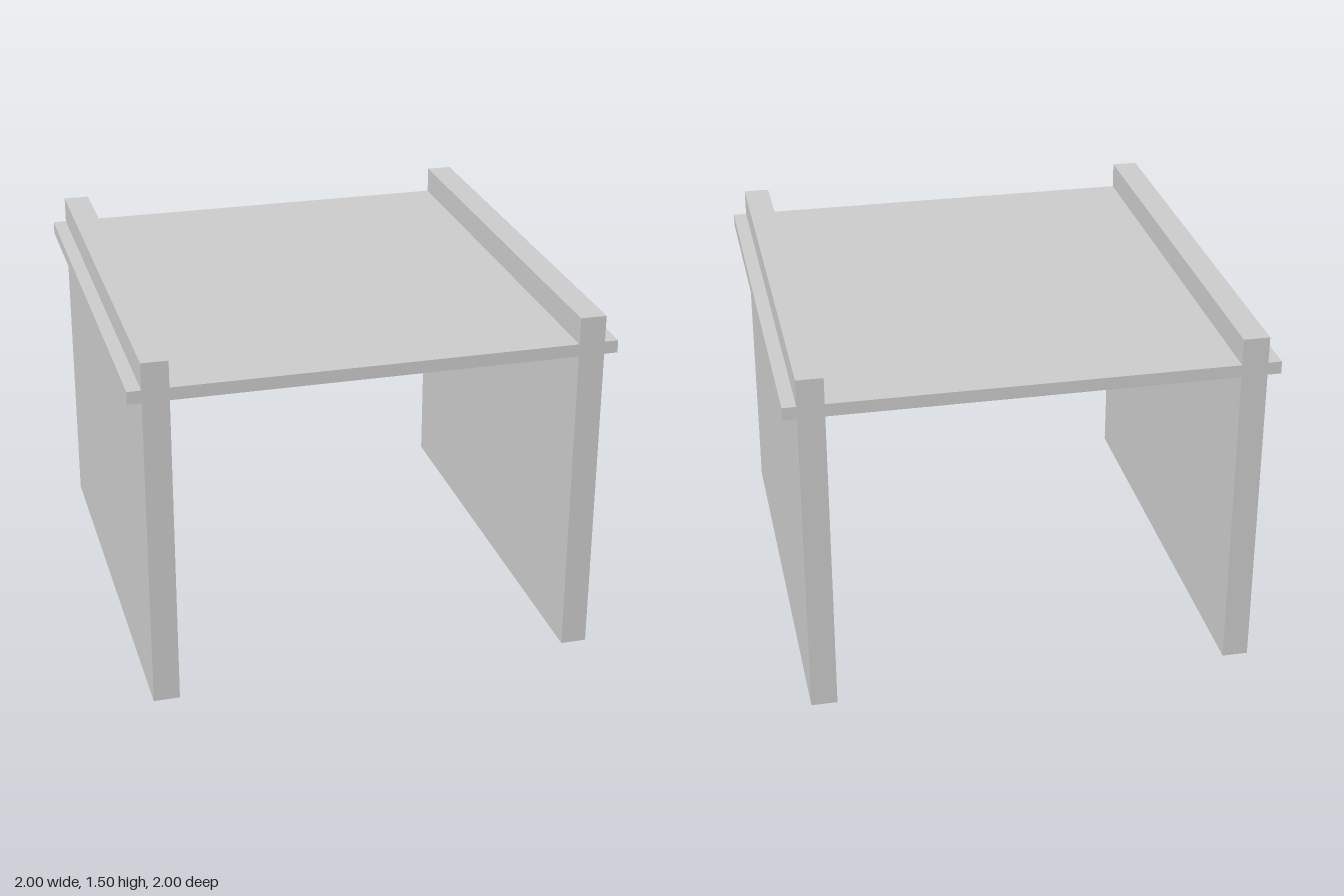
import * as THREE from 'three';

const DEPTH = 2;
const WALL_INNER = 0.834, WALL_OUTER = 0.943, WALL_TOP = 1.505;
const PANEL_BOTTOM = 1.34, PANEL_TOP = 1.393;

export function createModel() {
  const group = new THREE.Group();
  const material = new THREE.MeshStandardMaterial({ color: 0xcccccc, flatShading: true });

  // Full-depth slab spanning x0..x1 and y0..y1
  const addSlab = (name, x0, x1, y0, y1) => {
    const mesh = new THREE.Mesh(new THREE.BoxGeometry(x1 - x0, y1 - y0, DEPTH), material);
    mesh.position.set((x0 + x1) / 2, (y0 + y1) / 2, 0);
    mesh.name = name;
    group.add(mesh);
  };

  // Table top between the side walls
  addSlab('topPanel', -WALL_INNER, WALL_INNER, PANEL_BOTTOM, PANEL_TOP);

  // Side walls rising above the top, with the panel's ends projecting outside
  for (const [side, s] of [['left', 1], ['right', -1]]) {
    const span = (a, b) => (s > 0 ? [a, b] : [-b, -a]);
    addSlab(side + 'Wall', ...span(WALL_INNER, WALL_OUTER), 0, WALL_TOP);
    addSlab(side + 'Ledge', ...span(WALL_OUTER, 1), PANEL_BOTTOM, PANEL_TOP);
  }

  return group;
}
